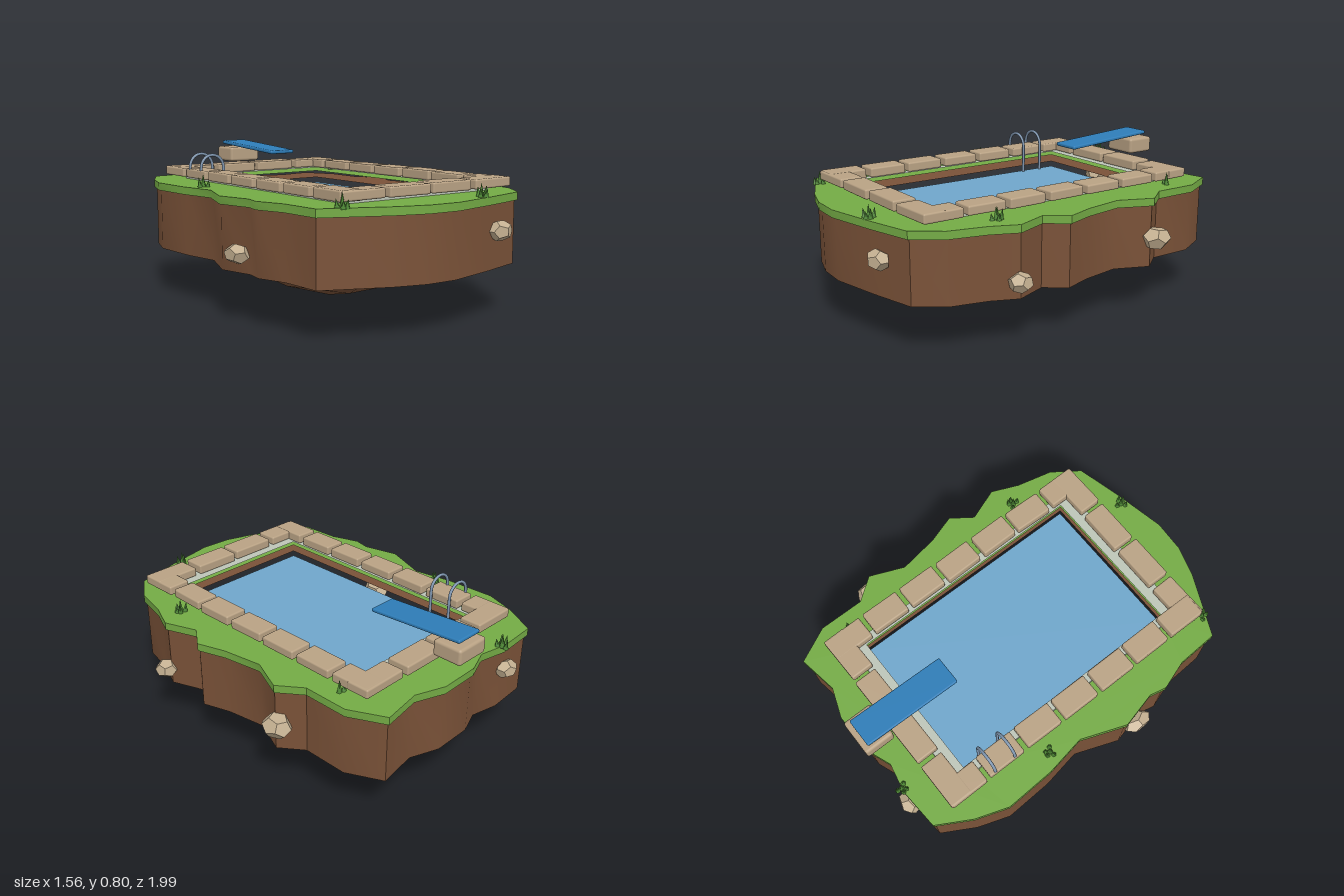
import * as THREE from 'three';
import { toCreasedNormals } from 'three/addons/utils/BufferGeometryUtils.js';
import { RoundedBoxGeometry } from 'three/addons/geometries/RoundedBoxGeometry.js';

const mat = (name, color) => {
  const m = new THREE.MeshStandardMaterial({ color });
  m.name = name;
  return m;
};
const M = {
  grass: mat('grass green', 0x74ab45),
  dirt: mat('soil brown', 0x7a5238),
  stone: mat('paving tan', 0xb9a284),
  rock: mat('rock beige', 0xc4b091),
  water: mat('water blue', 0x6fa6cb),
  basin: mat('basin blue', 0x8ea8c8),
  liner: mat('liner grey', 0xbdc5b8),
  board: mat('board blue', 0x2e7db8),
  metal: mat('rail steel', 0x7f96b0),
  tuft: mat('tuft green', 0x4f8a36),
};

// Island outline as x, z pairs
const OUTLINE = [
  [-0.55, -0.93], [-0.33, -0.945], [-0.18, -0.915], [-0.05, -0.965], [0.165, -0.97], [0.32, -0.915],
  [0.53, -0.95], [0.62, -0.77], [0.62, -0.53], [0.71, -0.41], [0.635, -0.23], [0.67, -0.02],
  [0.72, 0.13], [0.64, 0.24], [0.705, 0.41], [0.645, 0.55], [0.6, 0.74], [0.5, 0.88],
  [0.255, 0.94], [-0.02, 0.995], [-0.19, 0.985], [-0.35, 0.935], [-0.67, 0.785], [-0.68, 0.565],
  [-0.73, 0.41], [-0.71, 0.32], [-0.755, 0.13], [-0.665, -0.105], [-0.7, -0.32], [-0.71, -0.585], [-0.65, -0.755],
];
// Pool rectangles: x0, x1, z0, z1
const INNER = [-0.42, 0.395, -0.645, 0.645];
const OUTER = [-0.47, 0.445, -0.72, 0.735];

const corners = ([x0, x1, z0, z1]) => [[x0, z0], [x1, z0], [x1, z1], [x0, z1]];

// Horizontal slab from y0 to y1, with an optional hole
function slab(points, hole, y0, y1, s = 1) {
  const toV = (k) => ([x, z]) => new THREE.Vector2(x * k, -z * k);
  const shape = new THREE.Shape(points.map(toV(s)));
  if (hole) shape.holes.push(new THREE.Path(hole.map(toV(1))));
  const geo = new THREE.ExtrudeGeometry(shape, { depth: y1 - y0, bevelEnabled: false });
  geo.rotateX(-Math.PI / 2).translate(0, y0, 0);
  return toCreasedNormals(geo, 0.6);
}

// Rounded keel made from two rings and a bottom point
function keelGeometry() {
  const ring = [[0.42, 0.4], [0.46, 0], [0.36, -0.47], [0.07, -0.69], [-0.39, -0.38], [-0.55, 0.1], [-0.29, 0.67], [0.27, 0.64]];
  const n = ring.length, pos = [], idx = [];
  for (const [k, y] of [[1, 0.25], [0.92, 0.195], [0.58, 0.1]])
    for (const [x, z] of ring) pos.push(x * k, y, z * k);
  pos.push(0, 0, 0);
  for (let i = 0; i < n; i++) {
    const j = (i + 1) % n;
    for (let r = 0; r < 2; r++) {
      const u = r * n, l = u + n;
      idx.push(l + i, l + j, u + j, l + i, u + j, u + i);
    }
    idx.push(3 * n, 2 * n + j, 2 * n + i);
  }
  const geo = new THREE.BufferGeometry();
  geo.setAttribute('position', new THREE.Float32BufferAttribute(pos, 3));
  geo.setIndex(idx);
  geo.computeVertexNormals();
  return geo;
}

export function createModel() {
  const model = new THREE.Group();
  model.name = 'poolIsland';
  const add = (name, geo, material, x = 0, y = 0, z = 0, parent = model) => {
    const m = new THREE.Mesh(geo, material);
    m.name = name;
    m.position.set(x, y, z);
    parent.add(m);
    return m;
  };
  let seed = 7;
  const rnd = () => (seed = (seed * 16807) % 2147483647) / 2147483647 - 0.5;
  rnd(); rnd();

  // Island
  const hole = corners(INNER);
  add('turf', slab(OUTLINE, hole, 0.57, 0.61), M.grass);
  add('soil', slab(OUTLINE, hole, 0.25, 0.57, 0.985), M.dirt);
  add('keel', keelGeometry(), M.dirt);

  // Pool
  add('basin', slab(corners(OUTER), null, 0.225, 0.26), M.basin);
  add('liner', slab(corners(OUTER), hole, 0.26, 0.63), M.liner);
  add('water', slab(hole, null, 0.26, 0.54), M.water);

  // Paving stones around the pool
  const paving = new THREE.Group();
  paving.name = 'paving';
  model.add(paving);
  const stone = (x, z, w, d) => {
    const geo = new RoundedBoxGeometry(w, 0.05 + rnd() * 0.006, d, 2, 0.009);
    add('pavingStone', geo, M.stone, x + rnd() * 0.006, 0.655, z + rnd() * 0.006, paving).rotation.set(0, rnd() * 0.05, rnd() * 0.02);
  };
  for (const z of [-0.75, 0.75])
    for (let i = 0; i < 4; i++) stone(-0.423 + i * 0.274, z, 0.25, 0.122);
  for (const x of [-0.49, 0.463])
    for (let i = 0; i < 7; i++) stone(x, -0.7 + i * 0.2335, 0.123, 0.208);

  // Diving board on its block
  add('boardBlock', new RoundedBoxGeometry(0.195, 0.085, 0.16, 2, 0.015), M.stone, -0.01, 0.722, -0.9);
  add('divingBoard', new RoundedBoxGeometry(0.155, 0.02, 0.535, 2, 0.008), M.board, -0.012, 0.773, -0.685).rotation.x = 0.065;

  // Ladder rails
  for (const z of [-0.54, -0.42]) {
    const path = new THREE.CurvePath();
    const pts = [new THREE.Vector3(-0.54, 0.66, 0)];
    for (let i = 0; i <= 12; i++) {
      const a = Math.PI * (1 - i / 12);
      pts.push(new THREE.Vector3(-0.471 + 0.069 * Math.cos(a), 0.69 + 0.069 * Math.sin(a), 0));
    }
    pts.push(new THREE.Vector3(-0.402, 0.6, 0), new THREE.Vector3(-0.402, 0.5, 0));
    const curve = new THREE.CatmullRomCurve3(pts);
    add('ladderRail', new THREE.TubeGeometry(curve, 40, 0.008, 8), M.metal, 0, 0, z);
  }

  // Rocks set in the soil: position, then half sizes
  const rocks = [
    [0.32, 0.44, 0.935, 0.068, 0.052, 0.055], [0.715, 0.34, 0.42, 0.06, 0.05, 0.06],
    [0.715, 0.4, -0.43, 0.07, 0.06, 0.08], [-0.36, 0.465, -0.945, 0.065, 0.045, 0.055],
    [-0.735, 0.345, 0.25, 0.055, 0.05, 0.085],
  ];
  rocks.forEach(([x, y, z, a, b, c], i) => {
    const geo = new THREE.DodecahedronGeometry(1, 0).rotateY(i * 1.3).rotateX(i * 0.7);
    add('rock', geo, M.rock, x, y, z).scale.set(a, b, c);
  });

  // Grass tufts
  const blade = new THREE.ConeGeometry(0.015, 1, 5);
  const tufts = [[-0.31, -0.94], [0.54, -0.66], [-0.62, -0.26], [0.57, 0.455], [0.205, 0.915], [-0.55, 0.815]];
  tufts.forEach(([x, z], t) => {
    const tuft = new THREE.Group();
    tuft.name = 'grassTuft';
    tuft.position.set(x, 0.605, z);
    model.add(tuft);
    const count = t === 1 ? 2 : 5;
    for (let i = 0; i < count; i++) {
      const a = i * 2.4 + t, r = i ? 0.026 : 0, h = i ? 0.05 + rnd() * 0.02 : 0.072;
      const b = add('blade', blade, M.tuft, r * Math.cos(a), h / 2, r * Math.sin(a), tuft);
      b.scale.y = h;
      b.rotation.set(r * 6 * Math.sin(a), 0, -r * 6 * Math.cos(a));
    }
  });
  return model;
}
